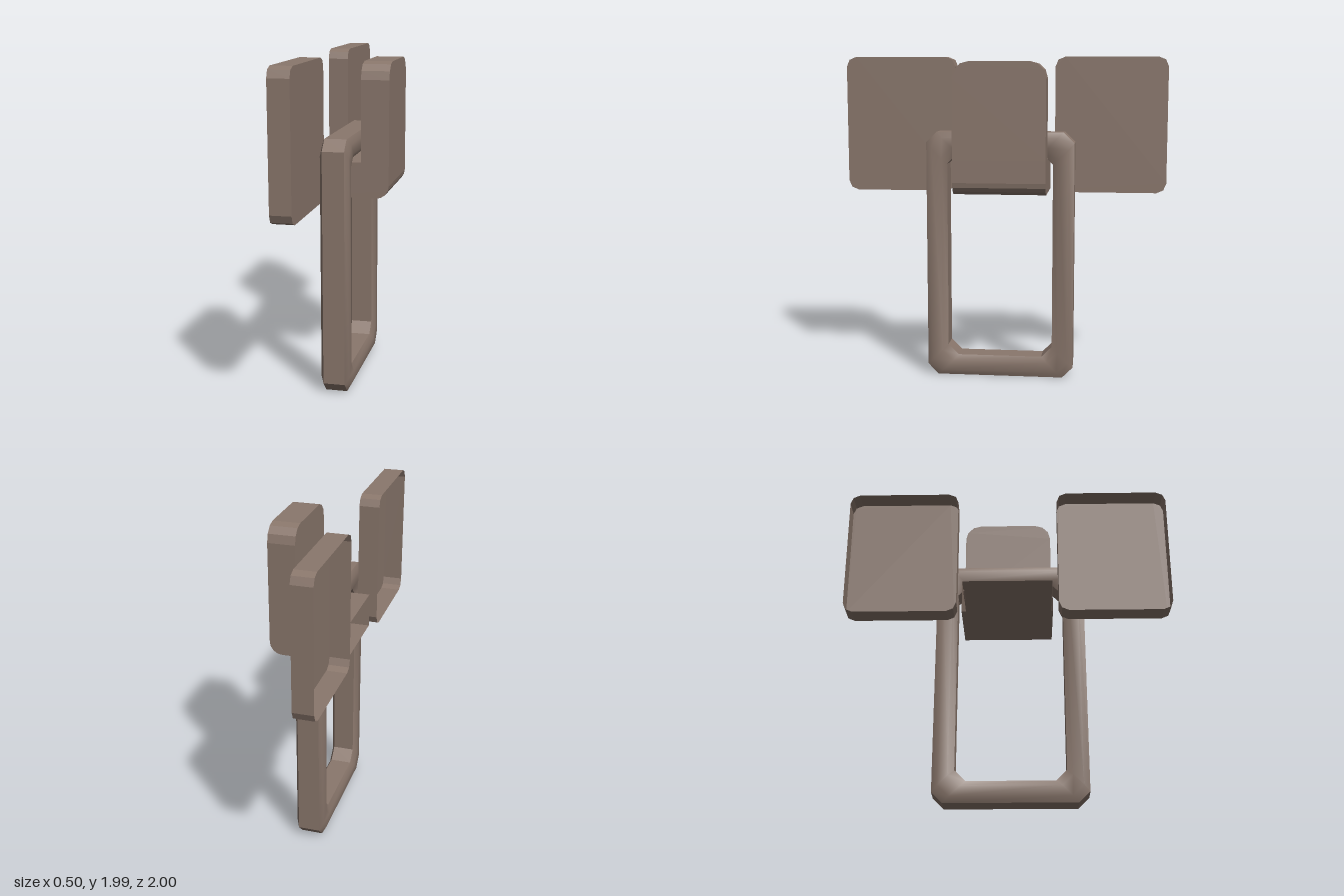
import * as THREE from 'three';
import { toCreasedNormals } from 'three/addons/utils/BufferGeometryUtils.js';

// Counter-clockwise rectangle from the bottom right corner, with corners cut in n steps
function roundedRect(u0, u1, v0, v1, rBottom, rTop, n) {
  const pts = [];
  const corner = (u, v, r, start) => {
    if (r === 0) { pts.push([u, v]); return; }
    const cu = u > (u0 + u1) / 2 ? u - r : u + r;
    const cv = v > (v0 + v1) / 2 ? v - r : v + r;
    for (let i = 0; i <= n; i++) {
      const a = start + (i / n) * Math.PI / 2;
      pts.push([cu + r * Math.cos(a), cv + r * Math.sin(a)]);
    }
  };
  corner(u1, v0, rBottom, -Math.PI / 2);
  corner(u1, v1, rTop, 0);
  corner(u0, v1, rTop, Math.PI / 2);
  corner(u0, v0, rBottom, Math.PI);
  return pts;
}

// Outline swept from w0 to w1; the last edge and either cap may be left open
function shell(pts, w0, w1, { closed = true, front = true, back = true } = {}) {
  const pos = [];
  const quad = (a, b, c, d) => pos.push(...a, ...b, ...c, ...a, ...c, ...d);
  const count = closed ? pts.length : pts.length - 1;
  for (let i = 0; i < count; i++) {
    const p = pts[i], q = pts[(i + 1) % pts.length];
    quad([...p, w0], [...q, w0], [...q, w1], [...p, w1]);
  }
  const tris = THREE.ShapeUtils.triangulateShape(pts.map(p => new THREE.Vector2(...p)), []);
  for (const [a, b, c] of tris) {
    if (front) pos.push(...pts[a], w1, ...pts[b], w1, ...pts[c], w1);
    if (back) pos.push(...pts[a], w0, ...pts[c], w0, ...pts[b], w0);
  }
  const geo = new THREE.BufferGeometry();
  geo.setAttribute('position', new THREE.Float32BufferAttribute(pos, 3));
  geo.computeVertexNormals();
  return geo;
}

// Rectangular loop with cut corners and a bevelled section of [inset, x] points
function ringGeometry() {
  const section = [
    [0, -0.1], [0, 0.03], [0.035, 0.05], [0.095, 0.05],
    [0.13, 0.03], [0.13, -0.1], [0.095, -0.12], [0.035, -0.12],
  ];
  const m = section.length, pos = [], index = [];
  for (const [d, w] of section) {
    for (const p of roundedRect(-0.47 + d, 0.44 - d, d, 1.53 - d, 0.065, 0.065, 1)) pos.push(...p, w);
  }
  for (let j = 0; j < m; j++) {
    for (let i = 0; i < 8; i++) {
      const k = (i + 1) % 8, l = (j + 1) % m;
      const a = j * 8 + i, b = j * 8 + k, c = l * 8 + k, d = l * 8 + i;
      index.push(a, b, c, a, c, d);
    }
  }
  const geo = new THREE.BufferGeometry();
  geo.setAttribute('position', new THREE.Float32BufferAttribute(pos, 3));
  geo.setIndex(index);
  return toCreasedNormals(geo, 0.6);
}

export function createModel() {
  const group = new THREE.Group();
  const brown = new THREE.MeshStandardMaterial({ color: 0x8a776c, side: THREE.DoubleSide });
  brown.name = 'warm brown';

  const add = (name, geo) => {
    const mesh = new THREE.Mesh(geo, brown);
    mesh.name = name;
    group.add(mesh);
  };
  // Turns an outline drawn in (-z, y) so that its sweep runs along x
  const sideways = geo => geo.rotateY(Math.PI / 2);

  // Hanging ring
  add('ring', sideways(ringGeometry()));

  // Two shallow trays, open towards -x
  for (const [name, u0, u1] of [['frontPlate', -1, -0.312], ['backPlate', 0.312, 1]]) {
    const outline = roundedRect(u0, u1, 1.15, 1.985, 0.06, 0.06, 2);
    add(name, sideways(shell(outline, -0.25, -0.127, { back: false })));
  }

  // Upright of the hook with a rounded top
  const upright = roundedRect(-0.275, 0.28, 1.375, 1.955, 0, 0.1, 3);
  add('hookUpright', sideways(shell(upright, 0.085, 0.25, { closed: false })));

  // Arm of the hook with a rounded lower corner, open at its inner end
  const arm = [[-0.21, 1.165]];
  for (let i = 0; i <= 4; i++) {
    const a = -Math.PI / 2 + (i / 4) * Math.PI / 2;
    arm.push([0.175 + 0.075 * Math.cos(a), 1.24 + 0.075 * Math.sin(a)]);
  }
  arm.push([0.25, 1.375], [0.085, 1.375], [-0.21, 1.375]);
  add('hookArm', shell(arm, -0.28, 0.275, { closed: false }));

  return group;
}
